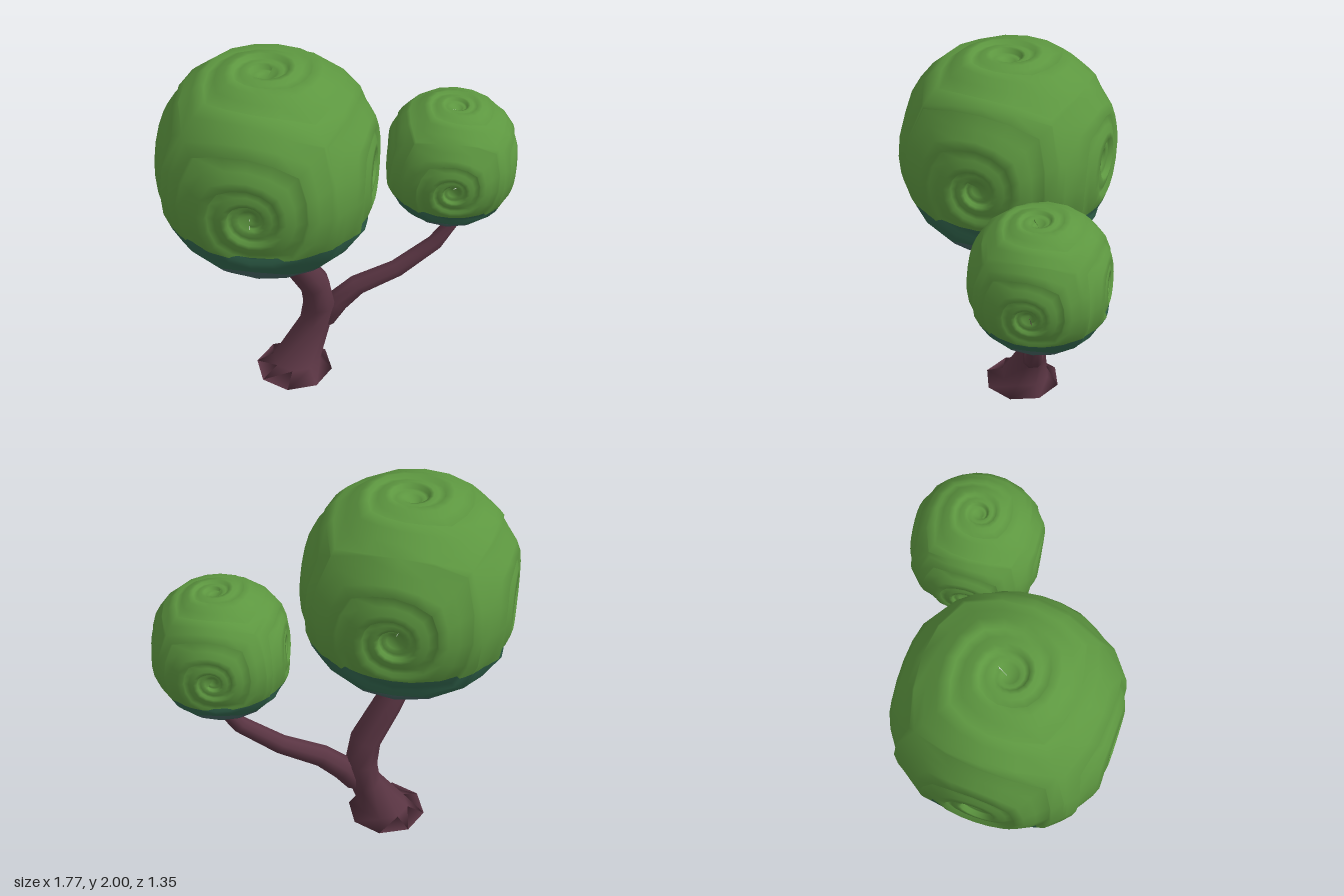
import * as THREE from 'three';
import { mergeVertices } from 'three/addons/utils/BufferGeometryUtils.js';

const material = (name, color, side = THREE.FrontSide) => {
  const m = new THREE.MeshStandardMaterial({ color, side });
  m.name = name;
  return m;
};

// Swept limb: a ring of `sides` points at each stop [x, y, z, radius]
function limb(stops, sides, levelStart) {
  const pos = [], index = [], up = new THREE.Vector3(0, 1, 0);
  const at = i => new THREE.Vector3(...stops[THREE.MathUtils.clamp(i, 0, stops.length - 1)].slice(0, 3));
  stops.forEach((s, i) => {
    const dir = i < levelStart ? up : at(i + 1).sub(at(i - 1)).normalize();
    const turn = new THREE.Quaternion().setFromUnitVectors(up, dir);
    for (let j = 0; j < sides; j++) {
      const a = (j / sides) * Math.PI * 2;
      const p = new THREE.Vector3(Math.cos(a) * s[3], 0, Math.sin(a) * s[3]).applyQuaternion(turn).add(at(i));
      pos.push(p.x, p.y, p.z);
      if (i > 0) {
        const k = (j + 1) % sides, lo = (i - 1) * sides, hi = i * sides;
        index.push(lo + j, hi + j, lo + k, lo + k, hi + j, hi + k);
      }
    }
  });
  // start cap
  for (let j = 1; j < sides - 1; j++) index.push(0, j, j + 1);
  const g = new THREE.BufferGeometry();
  g.setAttribute('position', new THREE.Float32BufferAttribute(pos, 3));
  g.setIndex(index);
  g.computeVertexNormals();
  return g;
}

// Sphere flattened on six sides; each side is one spiral strip whose outer
// edge drops behind the next turn, like a rolled leaf
function crownGeometry(seed) {
  const columns = 16, growth = 2, start = 0.06, turns = 5, pos = [];
  const rows = [[0, 0], [0.3, 0.25], [0.65, 0.6], [1, 1], [1, 0]]; // [across the strip, depth]
  for (let axis = 0; axis < 3; axis++) {
    for (const sign of [1, -1]) {
      const phase = seed + axis * 5 + (sign > 0 ? 0 : 7);
      const point = (j, rho, depth) => {
        const r = Math.min(rho, 1), angle = ((j + phase) / columns) * Math.PI * 2;
        const c = Math.cos(angle), s = Math.sin(angle);
        const square = 1 / Math.max(Math.abs(c), Math.abs(s));
        const q = r * (1 + (square - 1) * r * r);
        const v = new THREE.Vector3().setComponent(axis, sign)
          .setComponent((axis + 1) % 3, c * q * sign)
          .setComponent((axis + 2) % 3, s * q).normalize();
        const flat = Math.abs(v.getComponent(axis));
        const radius = (1.085 ** -24 + flat ** 24) ** (-1 / 24);
        const dent = 0.045 * depth * THREE.MathUtils.smoothstep(r, 0.03, 0.14)
          * (1 - THREE.MathUtils.smoothstep(r, 0.7, 1)) + 0.13 * Math.exp(-((r / 0.13) ** 2));
        return v.multiplyScalar(radius * (1 - dent) * 1.005).toArray();
      };
      const strip = (j, i) => point(j, start * growth ** (j / columns + rows[i][0]), rows[i][1]);
      for (let j = 0; j < columns * turns; j++) {
        if (j < columns) pos.push(...point(0, 0, 0), ...strip(j, 0), ...strip(j + 1, 0));
        for (let i = 0; i < rows.length - 1; i++) {
          const a = strip(j, i), b = strip(j, i + 1), c = strip(j + 1, i + 1), d = strip(j + 1, i);
          pos.push(...a, ...b, ...c, ...a, ...c, ...d);
        }
      }
    }
  }
  let g = new THREE.BufferGeometry();
  g.setAttribute('position', new THREE.Float32BufferAttribute(pos, 3));
  g = mergeVertices(g, 1e-4);
  g.computeVertexNormals();
  return g.toNonIndexed();
}

// Keep the side of a geometry where field(x, y, z) * sign is positive
function clip(g, field, sign) {
  const P = g.attributes.position, N = g.attributes.normal, pos = [], nor = [];
  const vertex = i => {
    const c = [P.getX(i), P.getY(i), P.getZ(i), N.getX(i), N.getY(i), N.getZ(i)];
    return { c, f: field(c[0], c[1], c[2]) * sign };
  };
  for (let i = 0; i < P.count; i += 3) {
    const tri = [vertex(i), vertex(i + 1), vertex(i + 2)], out = [];
    tri.forEach((A, j) => {
      const B = tri[(j + 1) % 3];
      if (A.f >= 0) out.push(A.c);
      if ((A.f >= 0) !== (B.f >= 0)) {
        const t = A.f / (A.f - B.f);
        out.push(A.c.map((x, k) => x + (B.c[k] - x) * t));
      }
    });
    for (let j = 1; j < out.length - 1; j++) {
      for (const c of [out[0], out[j], out[j + 1]]) {
        pos.push(...c.slice(0, 3));
        nor.push(...c.slice(3));
      }
    }
  }
  const r = new THREE.BufferGeometry();
  r.setAttribute('position', new THREE.Float32BufferAttribute(pos, 3));
  r.setAttribute('normal', new THREE.Float32BufferAttribute(nor, 3));
  return r;
}

export function createModel() {
  const bark = material('bark', 0x5a3543, THREE.DoubleSide);
  const leaf = material('leaf green', 0x5d9740);
  const shade = material('deep teal', 0x32664e);
  const under = material('slate underside', 0x446260);

  const tree = new THREE.Group();
  tree.name = 'tree';
  const add = (parent, name, geometry, mat) => {
    const mesh = new THREE.Mesh(geometry, mat);
    mesh.name = name;
    parent.add(mesh);
  };

  // Trunk with flared root, and side branch
  add(tree, 'trunk', limb([
    [-0.26, 0, 0.02, 0.215], [-0.25, 0.05, 0, 0.135], [-0.155, 0.26, -0.07, 0.087],
    [-0.13, 0.4, -0.07, 0.089], [-0.15, 0.55, -0.055, 0.085], [-0.25, 0.75, 0.01, 0.078],
    [-0.32, 0.9, 0.05, 0.065], [-0.34, 1.08, 0.1, 0.055],
  ], 8, 2), bark);
  add(tree, 'branch', limb([
    [-0.1, 0.27, -0.09, 0.055], [-0.04, 0.38, -0.12, 0.067], [0.07, 0.48, -0.16, 0.06],
    [0.28, 0.575, -0.22, 0.052], [0.48, 0.73, -0.285, 0.045], [0.575, 0.87, -0.32, 0.036],
    [0.59, 1.02, -0.33, 0.033],
  ], 8, 0), bark);

  // Crowns: green above, a teal band, and a scalloped slate underside
  const crown = (name, centre, size, rotation, seed, bandY) => {
    const group = new THREE.Group();
    group.name = name;
    group.position.set(...centre);
    group.rotation.set(...rotation);
    group.scale.setScalar(size);
    const band = (x, y) => y - bandY;
    const scallop = (x, y, z) => y + 0.7 - 0.06 * Math.cos(4 * Math.atan2(z, x));
    const whole = crownGeometry(seed), lower = clip(whole, band, -1);
    add(group, name + ' foliage', clip(whole, band, 1), leaf);
    add(group, name + ' shaded band', clip(lower, scallop, 1), shade);
    add(group, name + ' underside', clip(lower, scallop, -1), under);
    tree.add(group);
  };
  crown('large crown', [-0.34, 1.455, 0.125], 0.545, [0, 0, 0], 2, -0.41);
  crown('small crown', [0.54, 1.265, -0.335], 0.34, [0.03, 0.12, -0.07], 9, -0.47);
  return tree;
}
